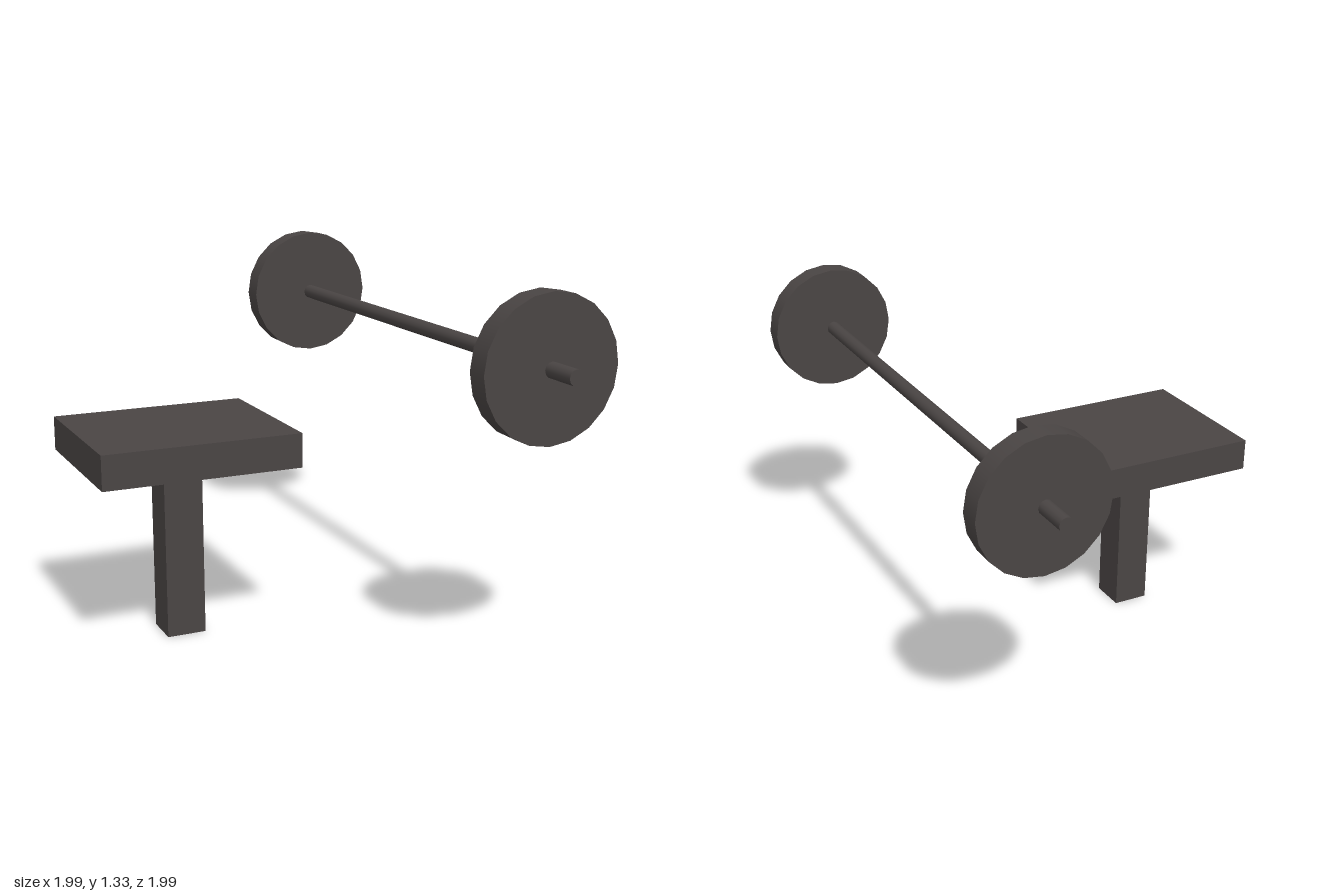
import * as THREE from 'three';

export function createModel() {
  const model = new THREE.Group();
  const iron = new THREE.MeshStandardMaterial({ color: 0x4a4544 });
  iron.name = 'dark iron';

  const add = (parent, name, geometry, x, y, z) => {
    const mesh = new THREE.Mesh(geometry, iron);
    mesh.name = name;
    mesh.position.set(x, y, z);
    parent.add(mesh);
  };
  const group = (name, x, y, z) => {
    const g = new THREE.Group();
    g.name = name;
    g.position.set(x, y, z);
    g.rotation.y = Math.PI / 6; // both pieces are turned by the same angle
    model.add(g);
    return g;
  };

  // Pedestal bench: a thick slab on a square post
  const bench = group('bench', -0.53, 0, 0.468);
  add(bench, 'benchTop', new THREE.BoxGeometry(0.726, 0.125, 0.616), 0, 0.7125, 0);
  add(bench, 'benchPost', new THREE.BoxGeometry(0.144, 0.65, 0.144), 0, 0.325, 0);

  // Barbell: a round bar along local z with a disc near each end
  const rod = (radius, length, sides) =>
    new THREE.CylinderGeometry(radius, radius, length, sides).rotateX(Math.PI / 2);
  const barbell = group('barbell', 0.28, 1.077, 0);
  add(barbell, 'bar', rod(0.028, 2.26, 12), 0, 0, 0);
  for (const side of [-1, 1]) {
    add(barbell, side > 0 ? 'frontWeight' : 'backWeight', rod(0.254, 0.087, 20), 0, 0, side * 0.948);
  }

  return model;
}
